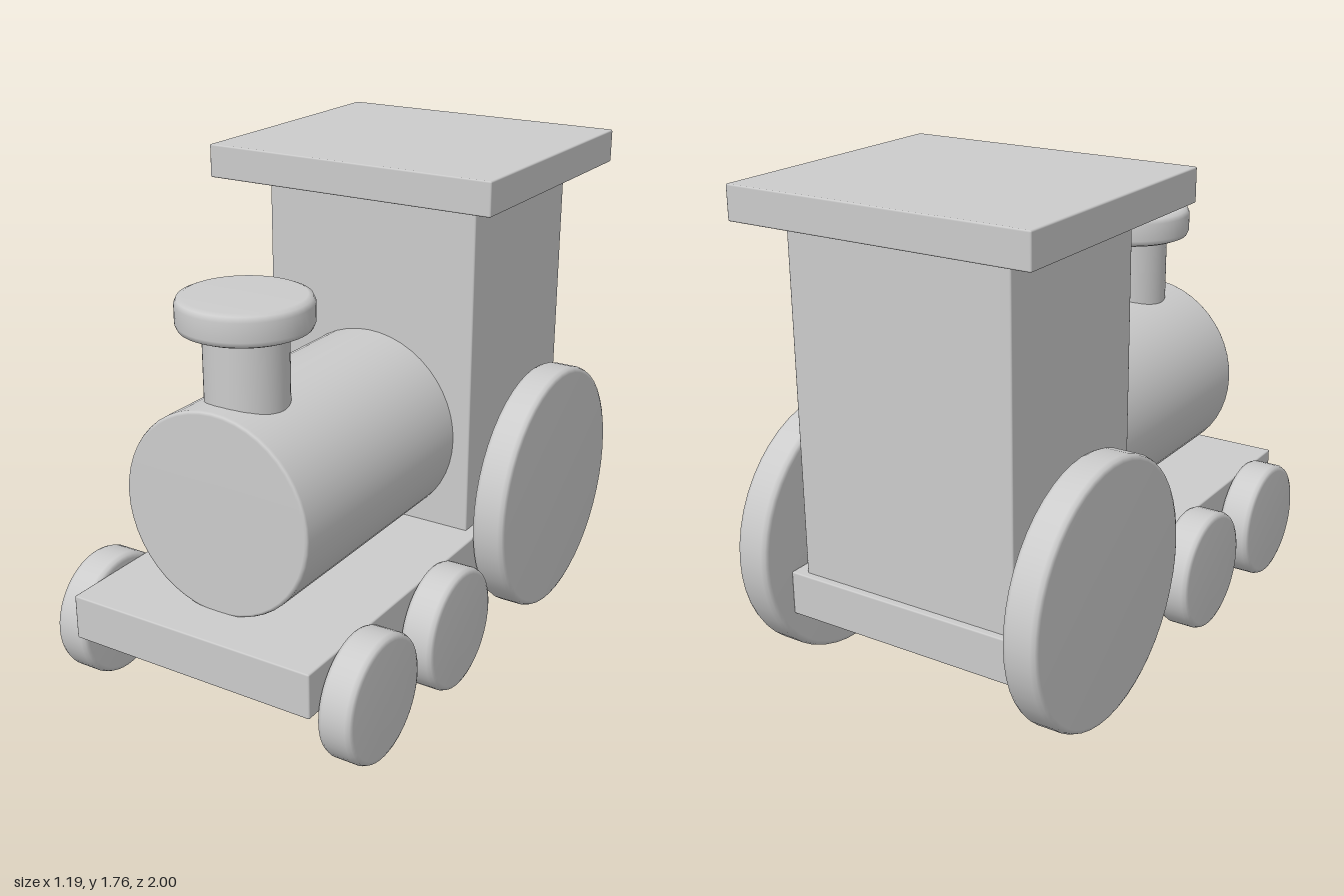
import * as THREE from 'three';
import { RoundedBoxGeometry } from 'three/addons/geometries/RoundedBoxGeometry.js';

const material = new THREE.MeshStandardMaterial({ color: 0xcccccc });

export function createModel() {
  const model = new THREE.Group();

  const add = (name, geometry, x, y, z) => {
    const mesh = new THREE.Mesh(geometry, material);
    mesh.name = name;
    mesh.position.set(x, y, z);
    model.add(mesh);
    return mesh;
  };

  // Box given by its extents, with slightly softened edges
  const box = (name, halfX, y0, y1, z0, z1) =>
    add(name, new RoundedBoxGeometry(2 * halfX, y1 - y0, z1 - z0, 1, 0.006),
      0, (y0 + y1) / 2, (z0 + z1) / 2);

  // Solid disc or drum around y with rounded rims
  const drum = (radius, height, bevel, segments = 48) => {
    const h = height / 2, k = bevel * 0.3;
    const profile = [
      [0, -h], [radius - bevel, -h], [radius - k, -h + k], [radius, -h + bevel],
      [radius, h - bevel], [radius - k, h - k], [radius - bevel, h], [0, h],
    ].map(([r, y]) => new THREE.Vector2(r, y));
    return new THREE.LatheGeometry(profile, segments);
  };

  // Body
  box('chassis', 0.47, 0.25, 0.41, -0.87, 1);
  box('cab', 0.42, 0.4, 1.65, -0.845, -0.125);
  box('roof', 0.56, 1.64, 1.76, -0.955, 0.05);

  // Boiler lying along z, running into the cab
  add('boiler', drum(0.357, 1.0, 0.012), 0, 0.755, 0.33).rotation.x = Math.PI / 2;

  // Chimney and its cap
  add('chimney', drum(0.141, 0.4, 0.005), 0, 1.15, 0.63);
  add('chimneyCap', drum(0.225, 0.113, 0.025), 0, 1.393, 0.63);

  // Three wheels on each side
  const wheels = [
    ['RearWheel', 0.465, -0.53],
    ['MiddleWheel', 0.22, 0.23],
    ['FrontWheel', 0.22, 0.745],
  ];
  for (const [side, sign] of [['left', 1], ['right', -1]]) {
    for (const [name, radius, z] of wheels) {
      const wheel = add(side + name, drum(radius, 0.126, 0.02), sign * 0.533, radius + 0.004, z);
      wheel.rotation.z = Math.PI / 2;
    }
  }

  return model;
}
